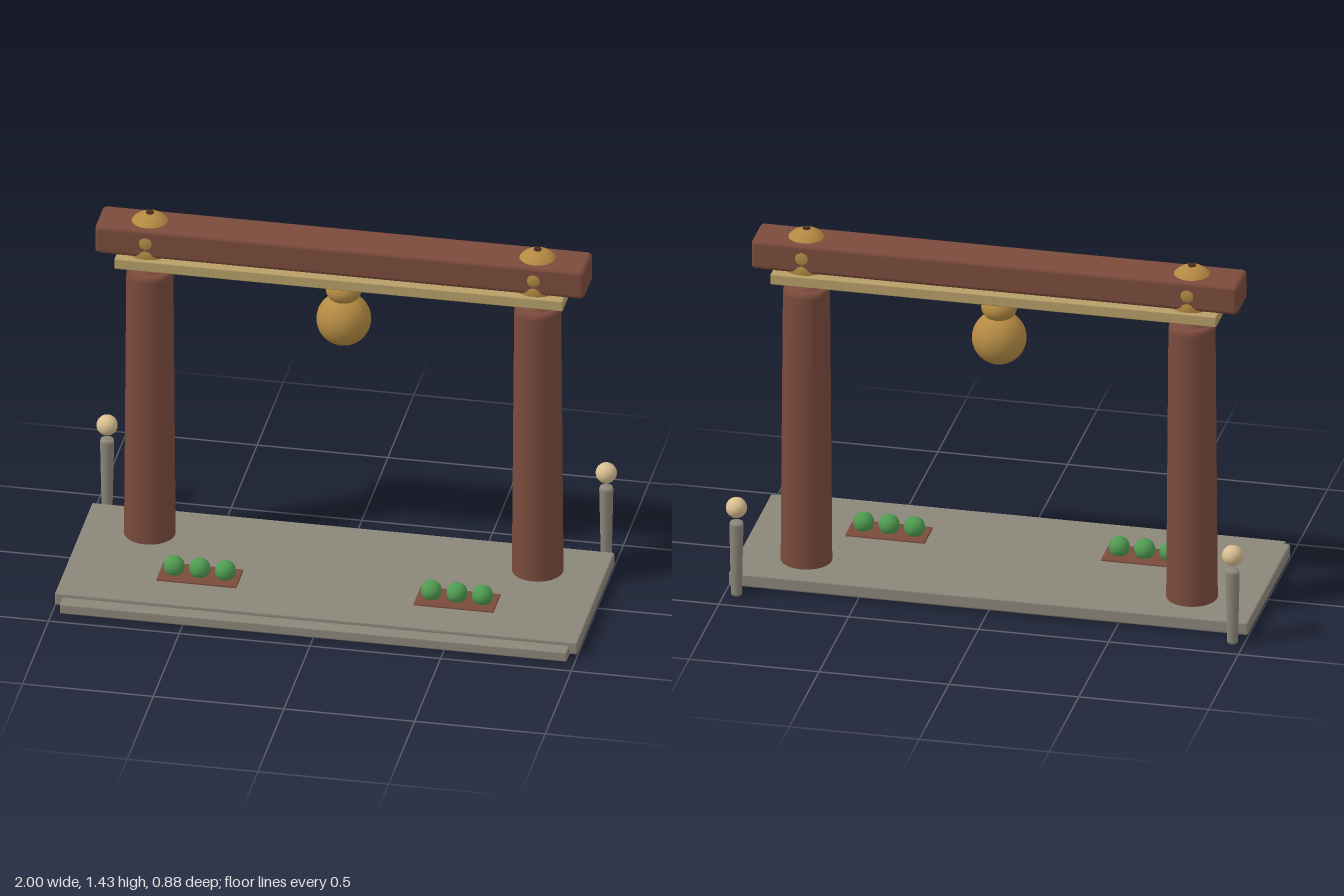
import * as THREE from 'three';
import { RoundedBoxGeometry } from 'three/addons/geometries/RoundedBoxGeometry.js';

const mat = (color) => new THREE.MeshStandardMaterial({ color });

export function createModel() {
  const model = new THREE.Group();
  const stone = mat(0x8c867a), wood = mat(0x7b4b3c), gold = mat(0xb48a42);
  const paleWood = mat(0xb79f68), green = mat(0x4f9a50), cream = mat(0xd8bf90);
  const darkWood = mat(0x4a2c22);

  const add = (name, geometry, material, x, y, z) => {
    const mesh = new THREE.Mesh(geometry, material);
    mesh.name = name;
    mesh.position.set(x, y, z);
    model.add(mesh);
    return mesh;
  };
  // Bevelled box given by its minimum and maximum corners
  const block = (name, material, [x0, y0, z0], [x1, y1, z1], r) =>
    add(name, new RoundedBoxGeometry(x1 - x0, y1 - y0, z1 - z0, 2, r), material,
      (x0 + x1) / 2, (y0 + y1) / 2, (z0 + z1) / 2);
  const ball = (name, material, r, x, y, z) =>
    add(name, new THREE.SphereGeometry(r, 32, 20), material, x, y, z);

  const gateZ = -0.152;

  // Platform and front step
  block('platform', stone, [-1, 0.004, -0.34], [1, 0.057, 0.382], 0.008);
  block('frontStep', stone, [-0.97, 0, 0.2], [0.97, 0.041, 0.437], 0.006);

  // Crossbeam and the pale board under it
  block('crossbeam', wood, [-0.937, 1.274, -0.238], [0.937, 1.394, -0.066], 0.018);
  block('underBoard', paleWood, [-0.858, 1.226, -0.254], [0.858, 1.27, -0.049], 0.005);

  // Tapered column with a softened top edge
  const columnProfile = [[0, 0.02], [0.097, 0.02], [0.097, 0.06], [0.0885, 1.165],
    [0.086, 1.18], [0.078, 1.19], [0, 1.19]].map(([r, y]) => new THREE.Vector2(r, y));
  // Slim lamp post, wider at the top
  const lampProfile = [[0, 0], [0.019, 0], [0.021, 0.008], [0.027, 0.29],
    [0.024, 0.301], [0, 0.303]].map(([r, y]) => new THREE.Vector2(r, y));

  for (const side of [-1, 1]) {
    const x = side * 0.742;
    add('column', new THREE.LatheGeometry(columnProfile, 32), wood, x, 0, gateZ);
    add('columnNeck', new THREE.CylinderGeometry(0.045, 0.07, 0.03, 24), wood, x, 1.195, gateZ);

    // Brass joints showing below the board and through the beam
    ball('lowerJoint', gold, 0.09, x, 1.28, gateZ);
    ball('upperJoint', gold, 0.09, x, 1.336, gateZ);
    add('jointPin', new THREE.CylinderGeometry(0.015, 0.015, 0.02, 8), darkWood, x, 1.421, gateZ);

    // Lamp posts behind the platform
    add('lampPost', new THREE.LatheGeometry(lampProfile, 16), stone, side * 0.955, 0, -0.4);
    ball('lampGlobe', cream, 0.04, side * 0.955, 0.36, -0.4);

    // Tray with three green balls
    const trayX = side * 0.492;
    block('tray', wood, [trayX - 0.153, 0.045, 0.075], [trayX + 0.153, 0.064, 0.214], 0.003);
    for (const i of [-1, 0, 1]) ball('greenBall', green, 0.04, trayX + i * 0.098, 0.09, 0.145);
  }

  // Hanging bell: flattened crown over a round body
  ball('bellCrown', gold, 0.068, 0, 1.178, gateZ).scale.y = 0.78;
  ball('bellBody', gold, 0.103, 0, 1.052, gateZ);

  return model;
}
